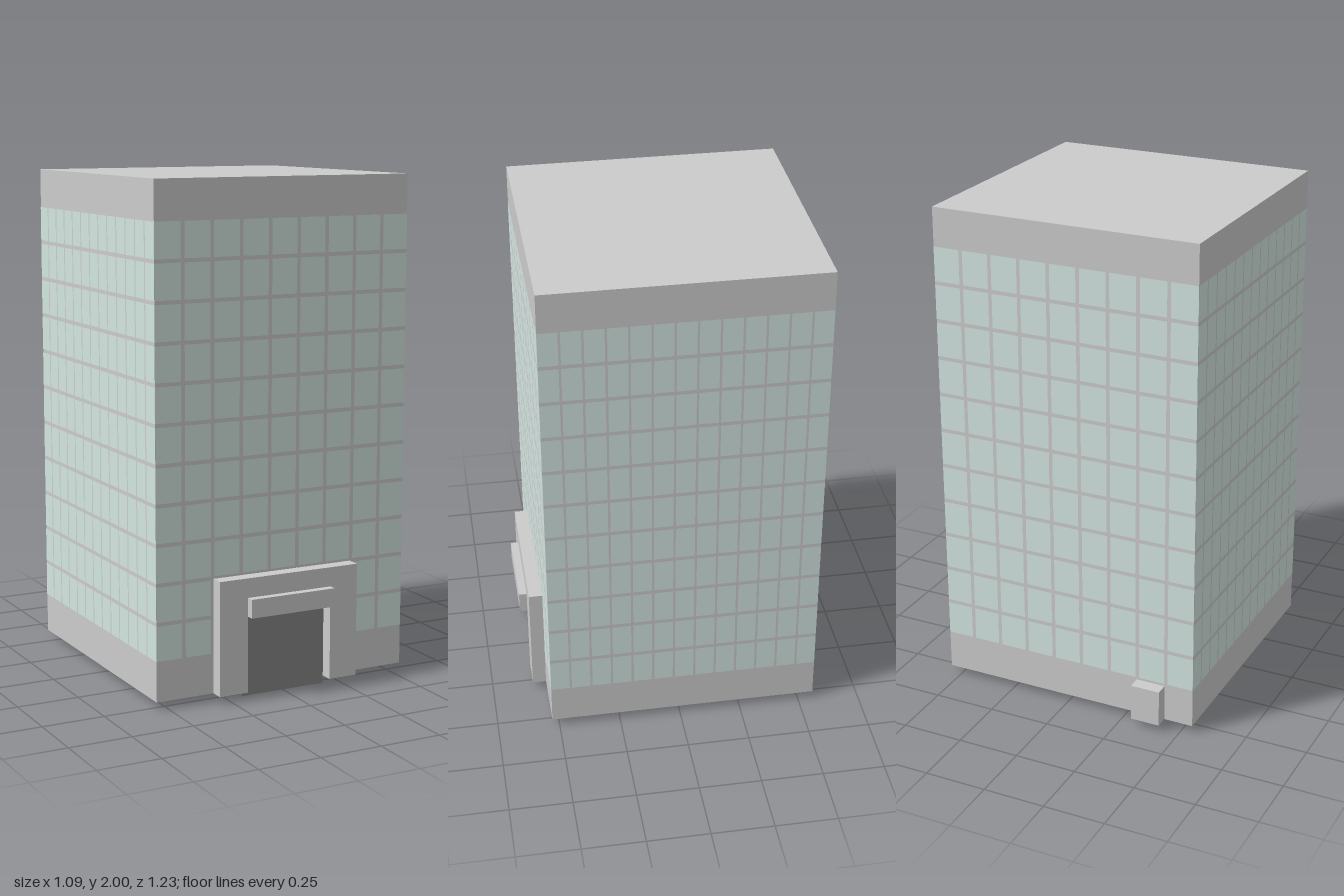
import * as THREE from 'three';
import { mergeGeometries } from 'three/addons/utils/BufferGeometryUtils.js';

const WIDTH = 1.09, BASE = 0.03, TOP = 2, CENTER_Z = -0.0165;
const HALF = WIDTH / 2, FRONT_Z = CENTER_Z + HALF, BACK_Z = CENTER_Z - HALF;
const GLASS_BOTTOM = 0.19, GLASS_TOP = 1.845, ROWS = 11, ROW_GAP = 0.015;

const grey = new THREE.MeshStandardMaterial({ color: 0xcccccc });
const glass = new THREE.MeshStandardMaterial({ color: 0xd3e5e0 });
const dark = new THREE.MeshStandardMaterial({ color: 0x868686, side: THREE.DoubleSide });

// Box given by its extents on each axis
function block(name, [x0, x1], [y0, y1], [z0, z1]) {
  const mesh = new THREE.Mesh(new THREE.BoxGeometry(x1 - x0, y1 - y0, z1 - z0), grey);
  mesh.position.set((x0 + x1) / 2, (y0 + y1) / 2, (z0 + z1) / 2);
  mesh.name = name;
  return mesh;
}

// One facade's panes, reaching the corners, with bare wall between them
function paneGrid(columns, columnGap) {
  const pitchX = (WIDTH + columnGap) / columns;
  const pitchY = (GLASS_TOP - GLASS_BOTTOM + ROW_GAP) / ROWS;
  const w = pitchX - columnGap, h = pitchY - ROW_GAP;
  const panes = [];
  for (let r = 0; r < ROWS; r++) {
    for (let c = 0; c < columns; c++) {
      panes.push(new THREE.PlaneGeometry(w, h).translate(
        -HALF + c * pitchX + w / 2, GLASS_BOTTOM + r * pitchY + h / 2, HALF + 0.001));
    }
  }
  return mergeGeometries(panes);
}

export function createModel() {
  const model = new THREE.Group();
  model.name = 'officeTower';

  model.add(block('towerBody', [-HALF, HALF], [BASE, TOP], [BACK_Z, FRONT_Z]));

  // Windows: wide panes front and back, narrow panes on the sides
  const wide = paneGrid(9, 0.015), narrow = paneGrid(13, 0.009);
  ['frontWindows', 'leftWindows', 'backWindows', 'rightWindows'].forEach((name, i) => {
    const windows = new THREE.Mesh(i % 2 ? narrow : wide, glass);
    windows.name = name;
    windows.rotation.y = i * Math.PI / 2;
    windows.position.z = CENTER_Z;
    model.add(windows);
  });

  // Entrance surround: one U-shaped extrusion
  const outline = new THREE.Shape([
    [-0.303, BASE], [-0.183, BASE], [-0.183, 0.333], [0.183, 0.333],
    [0.183, BASE], [0.303, BASE], [0.303, 0.484], [-0.303, 0.484],
  ].map(([x, y]) => new THREE.Vector2(x, y)));
  const surround = new THREE.Mesh(
    new THREE.ExtrudeGeometry(outline, { depth: 0.055, bevelEnabled: false }), grey);
  surround.position.z = FRONT_Z;
  surround.name = 'entranceSurround';
  model.add(surround);

  model.add(block('entranceCanopy', [-0.183, 0.183], [0.333, 0.407], [0.58, 0.615]));

  // Door panel, dropping below the wall to the ground
  const door = new THREE.Mesh(new THREE.PlaneGeometry(0.366, 0.333), dark);
  door.position.set(0, 0.1665, FRONT_Z + 0.003);
  door.name = 'door';
  model.add(door);

  model.add(block('rearUtilityBox', [-0.425, -0.305], [BASE, 0.18], [-0.615, BACK_Z]));

  return model;
}
